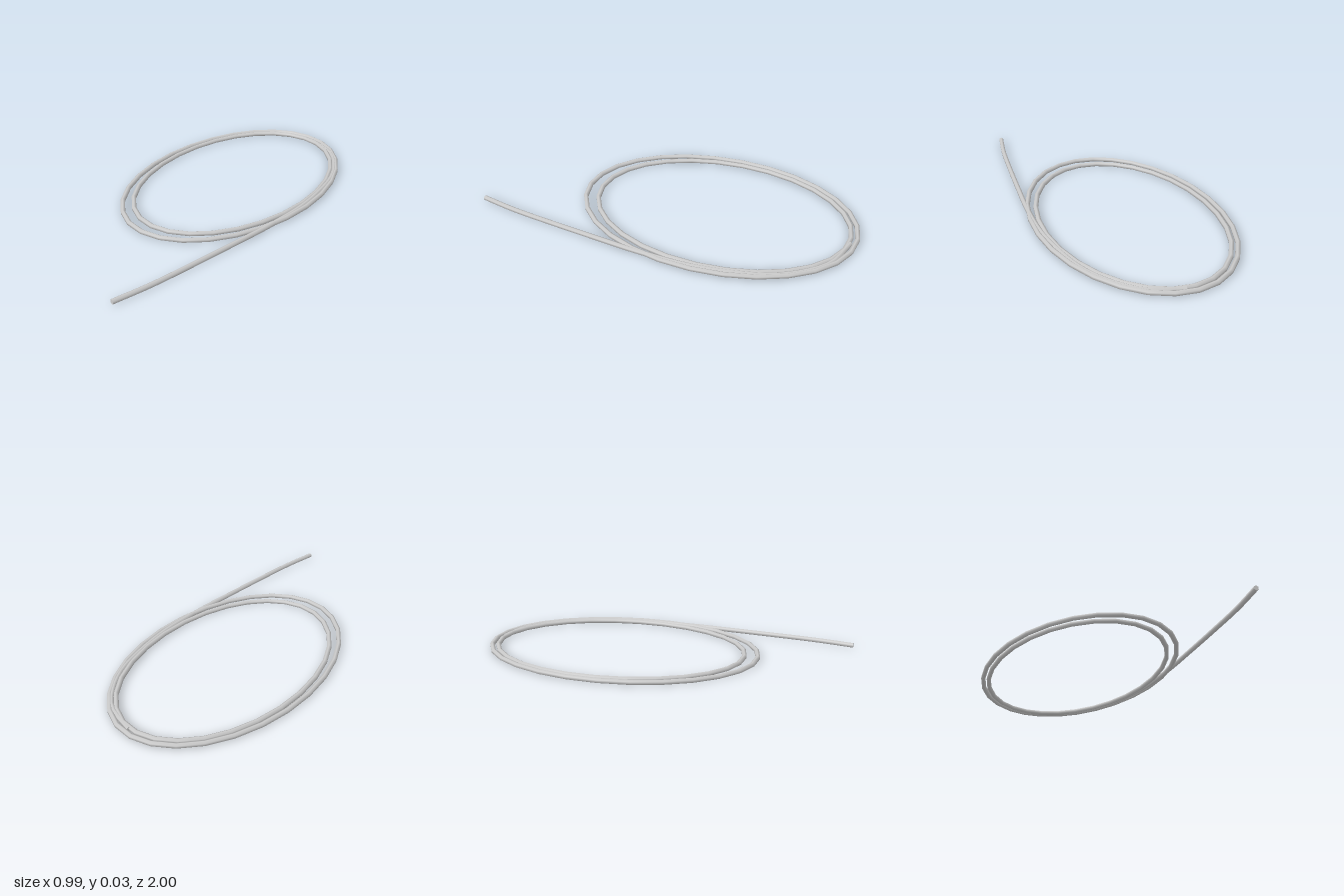
import * as THREE from 'three';

const RADIUS = 0.0135;
const SIDES = 6;

// Horizontal ellipse sampled at even angles, so the segments stay few and regular
class EllipseLoop extends THREE.Curve {
  constructor(rx, rz, cz) {
    super();
    Object.assign(this, { rx, rz, cz });
  }
  getPoint(t, target = new THREE.Vector3()) {
    const a = t * Math.PI * 2;
    return target.set(this.rx * Math.sin(a), RADIUS, this.cz + this.rz * Math.cos(a));
  }
  getUtoTmapping(u) {
    return u;
  }
}

export function createModel() {
  const group = new THREE.Group();
  const material = new THREE.MeshStandardMaterial({ color: 0xcccccc });
  const add = (name, geometry) => {
    const mesh = new THREE.Mesh(geometry, material);
    mesh.name = name;
    group.add(mesh);
    return mesh;
  };

  // Two coiled loops
  const loops = [
    ['outerLoop', 0.485, 0.744, -0.244],
    ['innerLoop', 0.449, 0.691, -0.263],
  ];
  for (const [name, rx, rz, cz] of loops) {
    add(name, new THREE.TubeGeometry(new EllipseLoop(rx, rz, cz), 28, RADIUS, SIDES, true));
  }

  // Loose tail, running between the loops and out to the front
  const path = new THREE.CatmullRomCurve3([
    [0.042, -0.956], [0.217, -0.89], [0.325, -0.775], [0.405, -0.62],
    [0.452, -0.39], [0.466, -0.2], [0.45, 0.055], [0.424, 0.27],
    [0.39, 0.53], [0.35, 0.8], [0.307, 0.996],
  ].map(([x, z]) => new THREE.Vector3(x, RADIUS, z)));
  add('tail', new THREE.TubeGeometry(path, 40, RADIUS, SIDES, false));

  // Flat ends of the tail
  for (const [name, t, sign] of [['tailInnerEnd', 0, -1], ['tailFrontEnd', 1, 1]]) {
    const cap = add(name, new THREE.CircleGeometry(RADIUS, SIDES, Math.PI / 2));
    const point = path.getPointAt(t);
    cap.position.copy(point);
    cap.lookAt(point.clone().addScaledVector(path.getTangentAt(t), sign));
  }

  return group;
}
